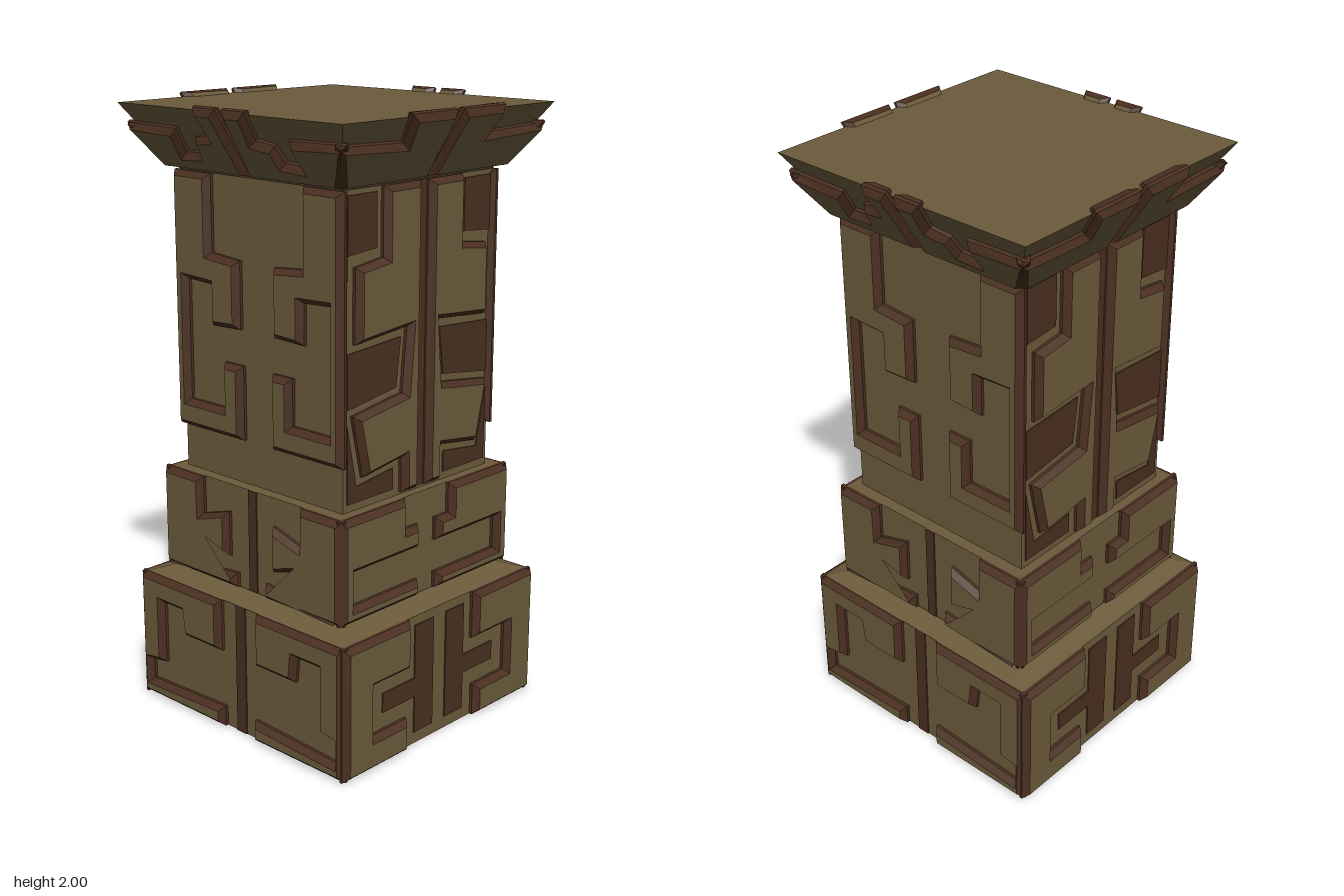
import * as THREE from 'three';

const stone = new THREE.MeshStandardMaterial({ color: 0x6b5b3b, flatShading: true });
const brown = new THREE.MeshStandardMaterial({ color: 0x4a2f20, flatShading: true });

// Raised plates for the wide (front/back) and narrow (side) faces: half outlines as [u, y]
const FRONT = {
  base: [[0.46, 0.44], [0.155, 0.44], [0.155, 0.28], [0.325, 0.28], [0.325, 0.11], [0.165, 0.11], [0.165, 0], [0.46, 0]],
  middle: [[0.4, 0.81], [0.105, 0.81], [0.105, 0.71], [0.042, 0.71], [0.042, 0.635], [0.34, 0.635], [0.34, 0.525],
    [0.042, 0.525], [0.042, 0.472], [0.4, 0.472]],
  shaft: [[0.02, 1.78], [0.18, 1.78], [0.18, 1.57], [0.3, 1.555], [0.3, 1.325], [0.07, 1.345], [0.09, 1.14],
    [0.31, 1.11], [0.265, 0.91], [0.09, 0.935], [0.09, 0.82], [0.02, 0.82]],
  cap: [[0.005, 1.78], [0.015, 1.985], [0.21, 1.985], [0.19, 1.9], [0.465, 1.91], [0.375, 1.78]],
};
const SIDE = {
  base: [[0.465, 0.44], [0.08, 0.44], [0.08, 0.265], [0.255, 0.265], [0.265, 0.35], [0.36, 0.35], [0.36, 0.135],
    [0.425, 0.125], [0.425, 0.055], [0.07, 0.07], [0.07, 0], [0.465, 0]],
  middle: [[0.4, 0.81], [0.22, 0.81], [0.22, 0.685], [0.1, 0.72], [0.1, 0.57], [0.345, 0.64], [0.36, 0.495],
    [0.065, 0.52], [0.065, 0.472], [0.4, 0.472]],
  shaft: [[0.365, 1.78], [0.2, 1.78], [0.2, 1.535], [0.075, 1.525], [0.075, 1.31], [0.2, 1.305], [0.2, 1.435],
    [0.31, 1.44], [0.31, 1.045], [0.15, 1.045], [0.15, 1.195], [0.065, 1.195], [0.065, 0.955], [0.365, 0.955]],
  cap: [[0.005, 1.78], [0.015, 1.985], [0.11, 1.985], [0.1, 1.9], [0.17, 1.89], [0.18, 1.84], [0.25, 1.835],
    [0.24, 1.91], [0.465, 1.915], [0.375, 1.78]],
};

// Flat brown inlays beside the plates
const FRONT_INLAYS = {
  base: [[[0.03, 0.41], [0.12, 0.41], [0.12, 0.23], [0.27, 0.23], [0.27, 0.165], [0.12, 0.165], [0.12, 0.04], [0.03, 0.04]]],
  shaft: [
    [[0.2, 1.765], [0.325, 1.765], [0.325, 1.59], [0.2, 1.6]],
    [[0.325, 1.3], [0.09, 1.315], [0.11, 1.16], [0.325, 1.13]],
    [[0.325, 0.835], [0.12, 0.835], [0.12, 0.905], [0.285, 0.885], [0.325, 1.08]],
    [[0, 0.82], [0.022, 0.82], [0.022, 1.78], [0, 1.78]],
  ],
};
const SIDE_INLAYS = {
  base: [[[0, 0], [0.022, 0], [0.022, 0.44], [0, 0.44]]],
  middle: [[[0, 0.472], [0.018, 0.472], [0.018, 0.81], [0, 0.81]]],
};

// Half sizes of each tier's core
const TIERS = {
  base: { x: 0.44, z: 0.45, y0: 0, y1: 0.44 },
  middle: { x: 0.38, z: 0.38, y0: 0.47, y1: 0.81 },
  shaft: { x: 0.34, z: 0.35, y0: 0.81, y1: 1.78 },
};
const CAP = { bottom: 0.345, top: 0.477, y0: 1.78, y1: 1.985 };

function shapeOf(points, side) {
  return new THREE.Shape(points.map(([u, y]) => new THREE.Vector2(u * side, y)));
}

// Stone-topped plate with bevelled brown edges
function plate(points, side, name) {
  const geometry = new THREE.ExtrudeGeometry(shapeOf(points, side), {
    depth: 0.01, bevelThickness: 0.02, bevelSize: 0.018, bevelOffset: -0.018, bevelSegments: 1,
  });
  const mesh = new THREE.Mesh(geometry, [stone, brown]);
  mesh.name = name;
  return mesh;
}

function inlay(points, side, name) {
  const geometry = new THREE.ExtrudeGeometry(shapeOf(points, side), { depth: 0.004, bevelEnabled: false });
  const mesh = new THREE.Mesh(geometry, brown);
  mesh.name = name;
  return mesh;
}

// Four-sided tapered block
function frustum(bottom, top, y0, y1, name) {
  const geometry = new THREE.CylinderGeometry(top * Math.SQRT2, bottom * Math.SQRT2, y1 - y0, 4);
  geometry.rotateY(Math.PI / 4);
  geometry.translate(0, (y0 + y1) / 2, 0);
  const mesh = new THREE.Mesh(geometry, stone);
  mesh.name = name;
  return mesh;
}

// All carving on one face, built facing +z
function carvedFace(plates, inlays, axis) {
  const face = new THREE.Group();
  const slope = Math.atan2(CAP.top - CAP.bottom, CAP.y1 - CAP.y0);
  const capPanel = new THREE.Group();
  capPanel.name = 'capPanel';
  capPanel.position.set(0, CAP.y0, CAP.bottom);
  capPanel.rotation.x = slope;
  face.add(capPanel);
  for (const side of [1, -1]) {
    for (const [tier, size] of Object.entries(TIERS)) {
      const relief = plate(plates[tier], side, tier + 'Plate');
      relief.position.z = size[axis];
      face.add(relief);
      for (const points of inlays[tier] || []) {
        const strip = inlay(points, side, tier + 'Inlay');
        strip.position.z = size[axis];
        face.add(strip);
      }
    }
    // Cap plates lie on the flared slope
    const sloped = plates.cap.map(([u, y]) => [u, (y - 1.765) / Math.cos(slope)]);
    capPanel.add(plate(sloped, side, 'capPlate'));
  }
  return face;
}

export function createModel() {
  const model = new THREE.Group();
  model.name = 'carvedPillar';

  // Stacked cores
  for (const [tier, { x, z, y0, y1 }] of Object.entries(TIERS)) {
    const core = new THREE.Mesh(new THREE.BoxGeometry(x * 2, y1 - y0, z * 2), stone);
    core.position.y = (y0 + y1) / 2;
    core.name = tier + 'Core';
    model.add(core);
  }
  model.add(frustum(0.445, 0.35, 0.44, 0.472, 'baseSlope'));
  model.add(frustum(CAP.bottom, CAP.top, CAP.y0, CAP.y1, 'capCore'));

  // Carved faces, opposite pairs alike
  ['frontFace', 'leftFace', 'backFace', 'rightFace'].forEach((name, i) => {
    const face = i % 2 ? carvedFace(SIDE, SIDE_INLAYS, 'x') : carvedFace(FRONT, FRONT_INLAYS, 'z');
    face.name = name;
    face.rotation.y = (i * Math.PI) / 2;
    model.add(face);
  });
  return model;
}
